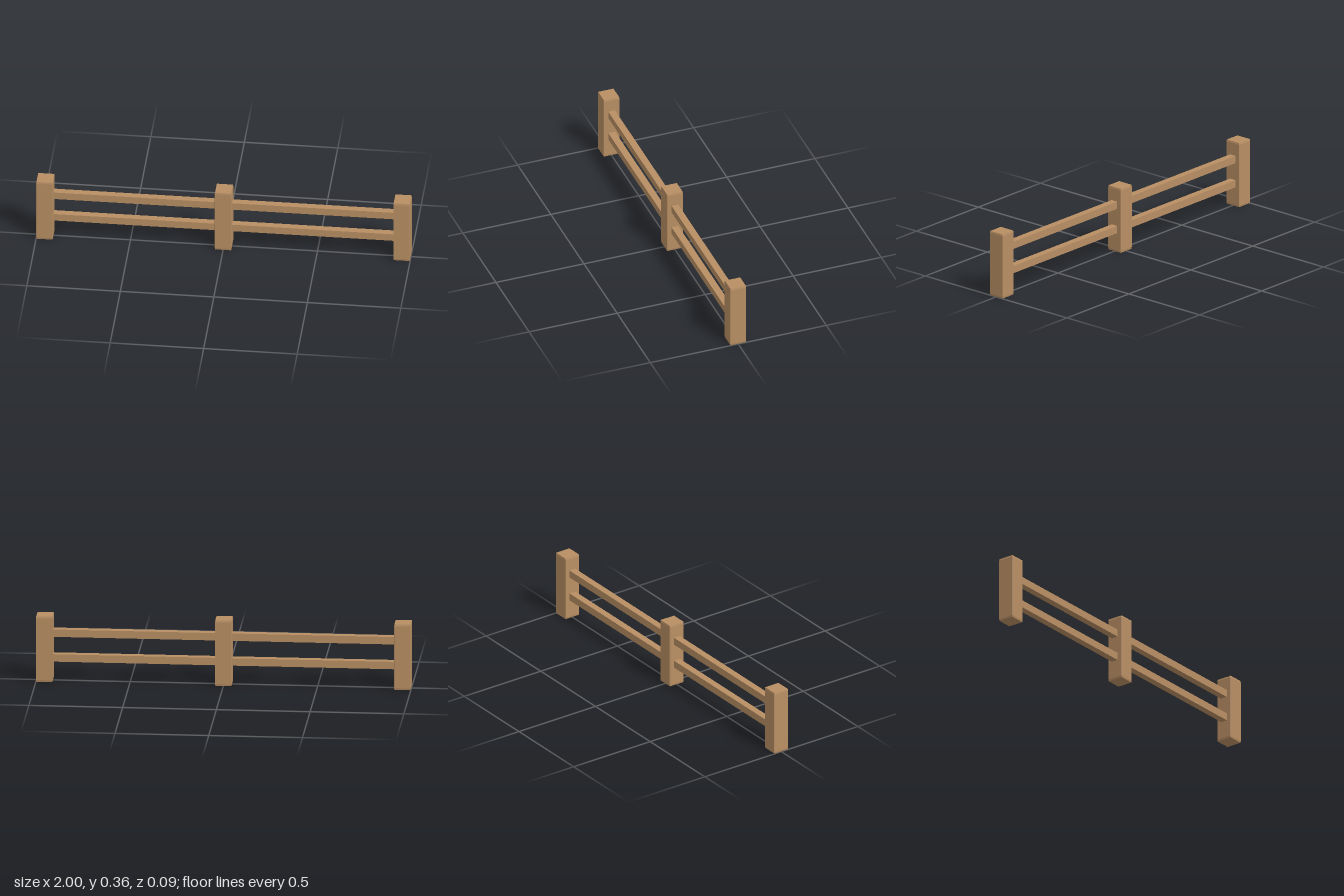
import * as THREE from 'three';
import { ConvexGeometry } from 'three/addons/geometries/ConvexGeometry.js';

// Box with flat chamfered edges; half sizes h and chamfer c per axis
function chamferedBox(h, c) {
  const points = [];
  for (const sx of [-1, 1]) for (const sy of [-1, 1]) for (const sz of [-1, 1])
    for (let face = 0; face < 3; face++) {
      const [x, y, z] = h.map((v, i) => (i === face ? v : v - c[i]));
      points.push(new THREE.Vector3(sx * x, sy * y, sz * z));
    }
  return new ConvexGeometry(points);
}

export function createModel() {
  const fence = new THREE.Group();
  fence.name = 'fence';

  const wood = new THREE.MeshStandardMaterial({ color: 0xb98f64 });
  wood.name = 'wood';

  const add = (name, geometry, x, y) => {
    const mesh = new THREE.Mesh(geometry, wood);
    mesh.name = name;
    mesh.position.set(x, y, 0);
    fence.add(mesh);
  };

  // Three square posts with a fine chamfer
  const halfWidth = 0.045, height = 0.362, span = 1 - halfWidth;
  const postGeometry = chamferedBox([halfWidth, height / 2, 0.0455], [0.002, 0.01, 0.002]);
  ['rightPost', 'middlePost', 'leftPost'].forEach((name, i) =>
    add(name, postGeometry, (i - 1) * span, height / 2));

  // Two rails in each bay, let slightly into the posts
  const railGeometry = new THREE.BoxGeometry(span - 2 * halfWidth + 0.02, 0.041, 0.038);
  for (const [side, sign] of [['right', -1], ['left', 1]]) {
    add(side + 'LowerRail', railGeometry, sign * span / 2, 0.127);
    add(side + 'UpperRail', railGeometry, sign * span / 2, 0.264);
  }

  return fence;
}
